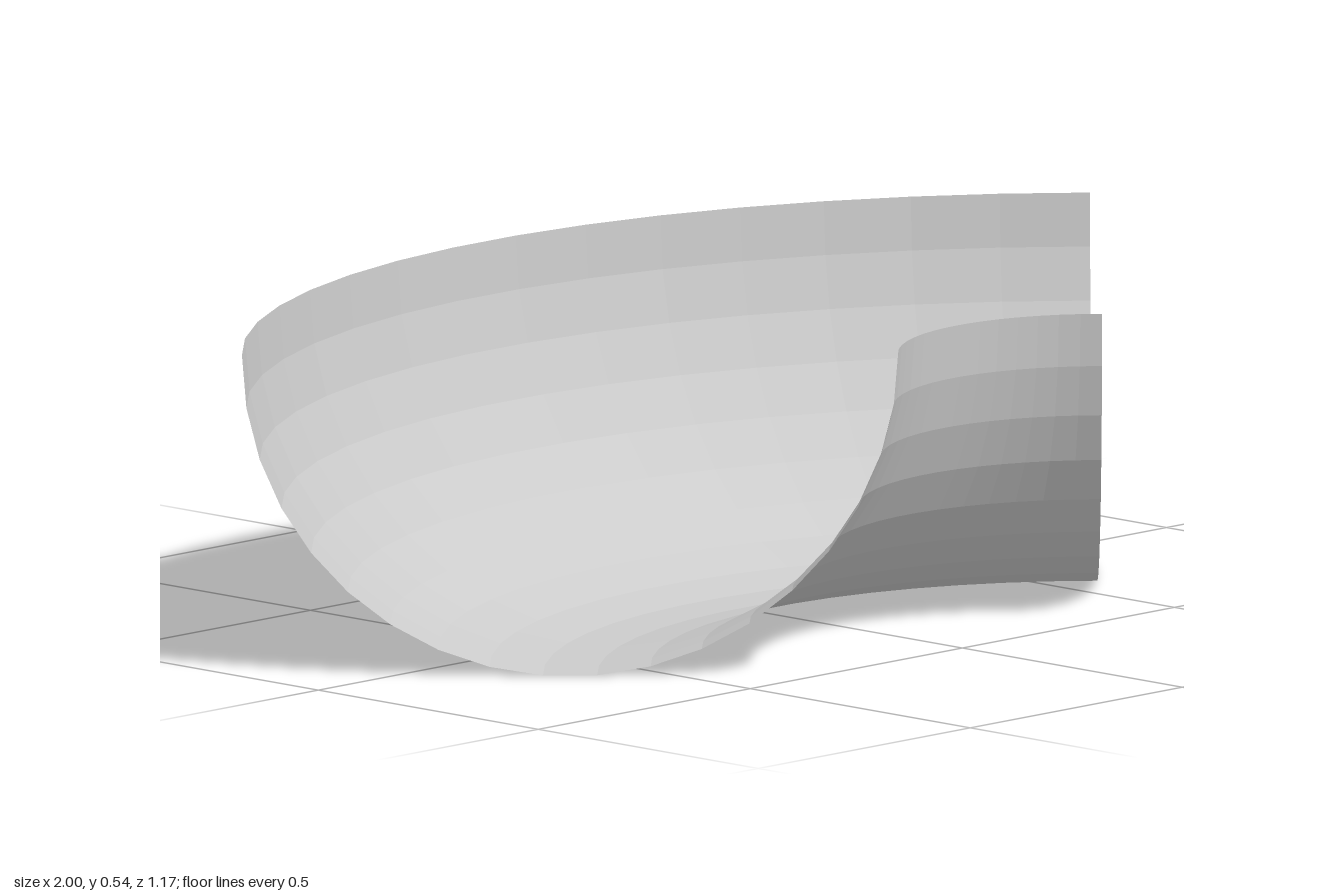
import * as THREE from 'three';

export function createModel() {
  const group = new THREE.Group();
  const innerRadius = 0.34, outerRadius = Math.SQRT2;
  const tube = (outerRadius - innerRadius) / 2;
  const major = (outerRadius + innerRadius) / 2;
  const profileSides = 19, bendSides = 15;

  // Half-round channel profile, from the inner rim down and up to the outer rim
  const profile = [];
  for (let i = 0; i <= profileSides; i++) {
    const a = Math.PI + (Math.PI * i) / profileSides;
    profile.push(new THREE.Vector2(major + tube * Math.cos(a), tube * Math.sin(a)));
  }

  // Quarter-turn sweep about a vertical axis in front of the channel
  const geometry = new THREE.LatheGeometry(profile, bendSides, Math.PI * 0.75, Math.PI / 2);
  const material = new THREE.MeshStandardMaterial({
    color: 0xcccccc, flatShading: true, side: THREE.DoubleSide,
  });
  const channel = new THREE.Mesh(geometry, material);
  channel.name = 'curvedHalfPipe';

  // Rest the lowest facet on the ground and centre the sweep in depth
  const lowest = tube * Math.cos(Math.PI / (2 * profileSides));
  const back = outerRadius * Math.cos(Math.PI / (4 * bendSides));
  const front = innerRadius * Math.SQRT1_2;
  channel.position.set(0, lowest, (back + front) / 2);
  group.add(channel);
  return group;
}
